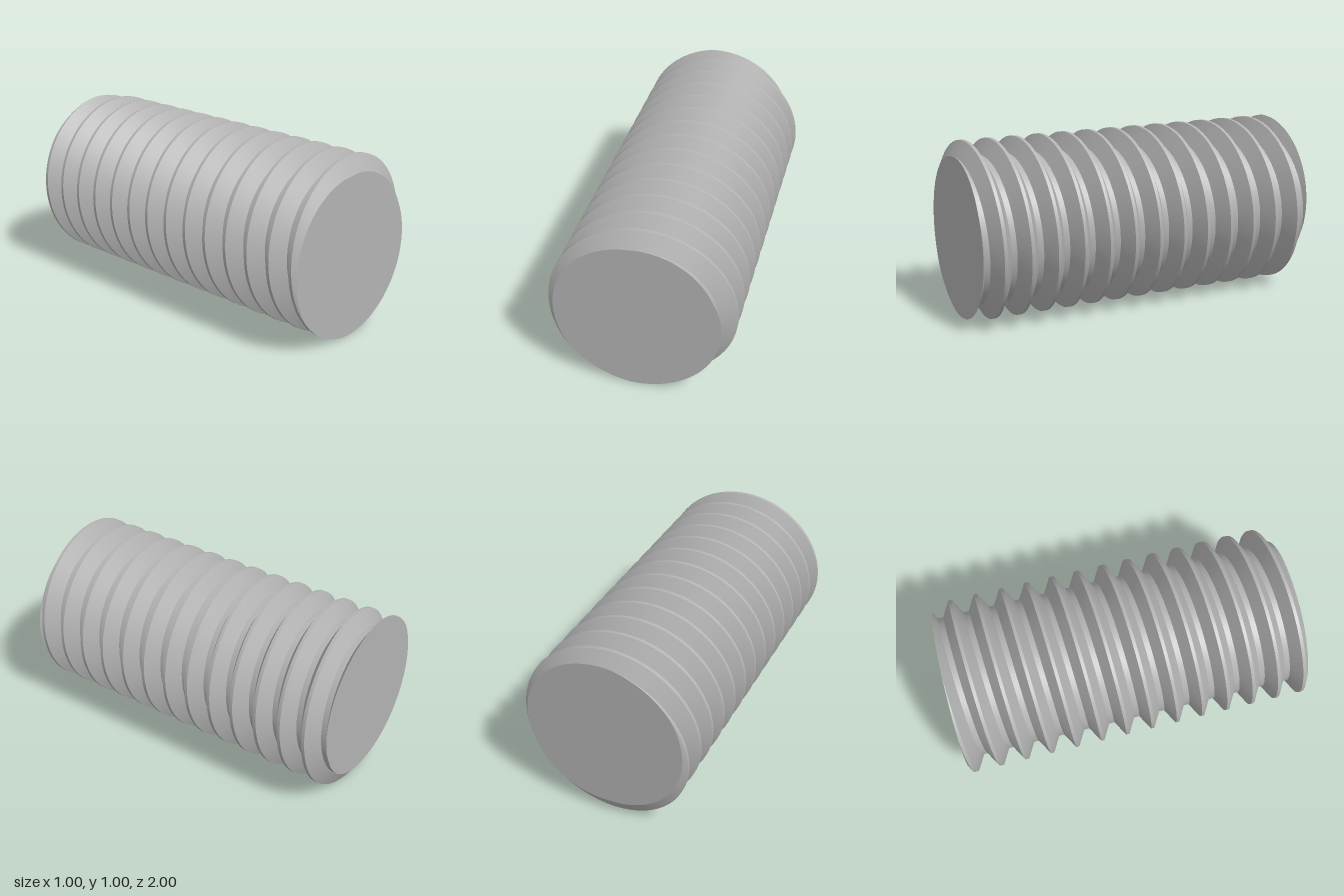
import * as THREE from 'three';

const LENGTH = 2, PITCH = 0.15, CREST_R = 0.5, SLOPE = Math.tan(Math.PI / 3);
const CREST_HALF = PITCH / 16, FLANK = 0.05;      // widths along the axis
const ROOT_R = CREST_R - FLANK * SLOPE;
const CREST_Z = 0.937;                            // a crest centre at the top of the rod
const SEGMENTS = 96;                              // columns per turn

const angleOf = (i) => (i / SEGMENTS) * Math.PI * 2;
const clampZ = (z) => THREE.MathUtils.clamp(z, -LENGTH / 2, LENGTH / 2);
const crestAt = (i) => CREST_Z - (PITCH * i) / SEGMENTS;

// Thread radius at column i and height z along the axis
function radiusAt(i, z) {
  const u = THREE.MathUtils.euclideanModulo((z - crestAt(i)) / PITCH, 1);
  const d = Math.min(u, 1 - u) * PITCH;
  return THREE.MathUtils.clamp(CREST_R - (d - CREST_HALF) * SLOPE, ROOT_R, CREST_R);
}

function pointAt(i, z) {
  const r = radiusAt(i, z), a = angleOf(i);
  return [r * Math.sin(a), CREST_R + r * Math.cos(a), z];
}

function makeMesh(name, positions, index, material) {
  const geometry = new THREE.BufferGeometry();
  geometry.setAttribute('position', new THREE.Float32BufferAttribute(positions, 3));
  geometry.setIndex(index);
  geometry.computeVertexNormals();
  const mesh = new THREE.Mesh(geometry, material);
  mesh.name = name;
  return mesh;
}

// One helical band of the thread, trimmed flat at both ends of the rod
function helixBand(name, from, to, material) {
  const positions = [], index = [];
  const first = -2 * SEGMENTS, last = 15 * SEGMENTS;
  let previousOpen = false;
  for (let i = first; i <= last; i++) {
    const z0 = clampZ(crestAt(i) + from), z1 = clampZ(crestAt(i) + to);
    const open = z1 - z0 > 1e-7;
    const n = positions.length / 3;
    positions.push(...pointAt(i, z0), ...pointAt(i, z1));
    if (i > first && (open || previousOpen)) {
      index.push(n - 2, n - 1, n, n - 1, n + 1, n);
    }
    previousOpen = open;
  }
  return makeMesh(name, positions, index, material);
}

// Flat end face following the cut thread outline
function endCap(name, side, material) {
  const z = (side * LENGTH) / 2;
  const positions = [0, CREST_R, z], index = [];
  for (let i = 0; i <= SEGMENTS; i++) positions.push(...pointAt(i, z));
  for (let i = 1; i <= SEGMENTS; i++) {
    if (side > 0) index.push(0, i + 1, i);
    else index.push(0, i, i + 1);
  }
  return makeMesh(name, positions, index, material);
}

export function createModel() {
  const steel = new THREE.MeshStandardMaterial({ color: 0xb3b3b3 });
  steel.name = 'steel grey';

  const rod = new THREE.Group();
  rod.name = 'threadedRod';
  const c = CREST_HALF, f = CREST_HALF + FLANK;
  rod.add(
    helixBand('threadCrest', -c, c, steel),
    helixBand('threadFrontFlank', c, f, steel),
    helixBand('threadRoot', f, PITCH - f, steel),
    helixBand('threadBackFlank', -f, -c, steel),
    endCap('frontEnd', 1, steel),
    endCap('backEnd', -1, steel),
  );
  return rod;
}
